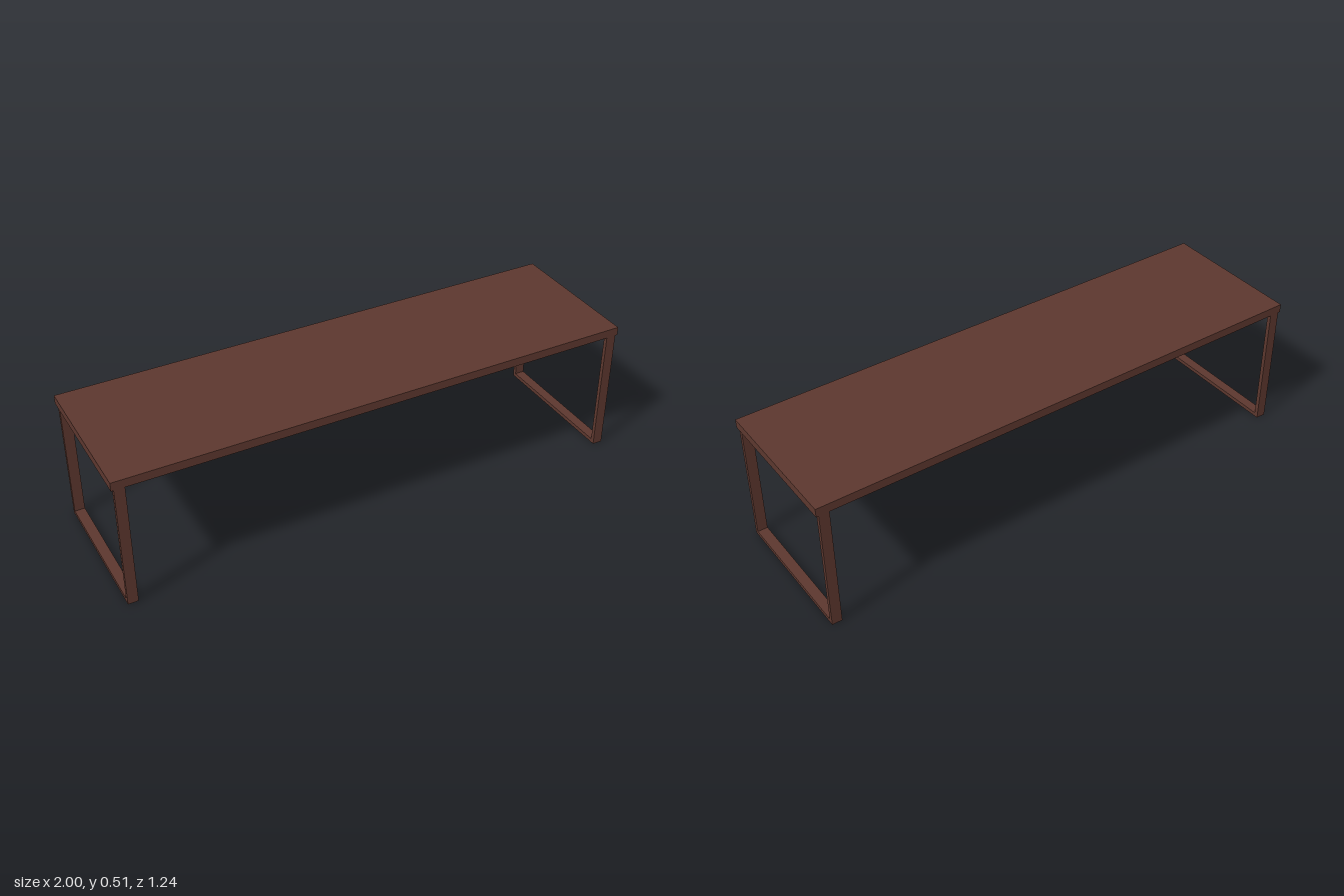
import * as THREE from 'three';

const LENGTH = 1.94, WIDTH = 0.543, HEIGHT = 0.507, TOP = 0.032;
const BAR = 0.015, FRAME_DEPTH = 0.0375, INSET = 0.009;

// Rectangle outline running from (x0, y0) to (x1, y1)
function rectangle(Type, x0, y0, x1, y1) {
  const path = new Type();
  path.moveTo(x0, y0).lineTo(x1, y0).lineTo(x1, y1).lineTo(x0, y1).closePath();
  return path;
}

export function createModel() {
  const model = new THREE.Group();
  model.name = 'bench';
  const wood = new THREE.MeshStandardMaterial({ color: 0x5c372e });

  // Flat top
  const top = new THREE.Mesh(new THREE.BoxGeometry(LENGTH, TOP, WIDTH), wood);
  top.name = 'benchTop';
  top.position.y = HEIGHT - TOP / 2;
  model.add(top);

  // Closed rectangular leg frame, extruded along the length of the bench
  const half = WIDTH / 2, frameHeight = HEIGHT - TOP;
  const outline = rectangle(THREE.Shape, -half, 0, half, frameHeight);
  outline.holes.push(rectangle(THREE.Path, -half + BAR, BAR, half - BAR, frameHeight - BAR));
  const frame = new THREE.ExtrudeGeometry(outline, { depth: FRAME_DEPTH, bevelEnabled: false });
  frame.translate(0, 0, -FRAME_DEPTH / 2).rotateY(Math.PI / 2);

  // One frame near each end
  for (const side of [-1, 1]) {
    const leg = new THREE.Mesh(frame, wood);
    leg.name = side > 0 ? 'leftLegFrame' : 'rightLegFrame';
    leg.position.x = side * (LENGTH / 2 - INSET - FRAME_DEPTH / 2);
    model.add(leg);
  }

  // The bench stands at an angle
  model.rotation.y = Math.PI / 8;
  return model;
}
